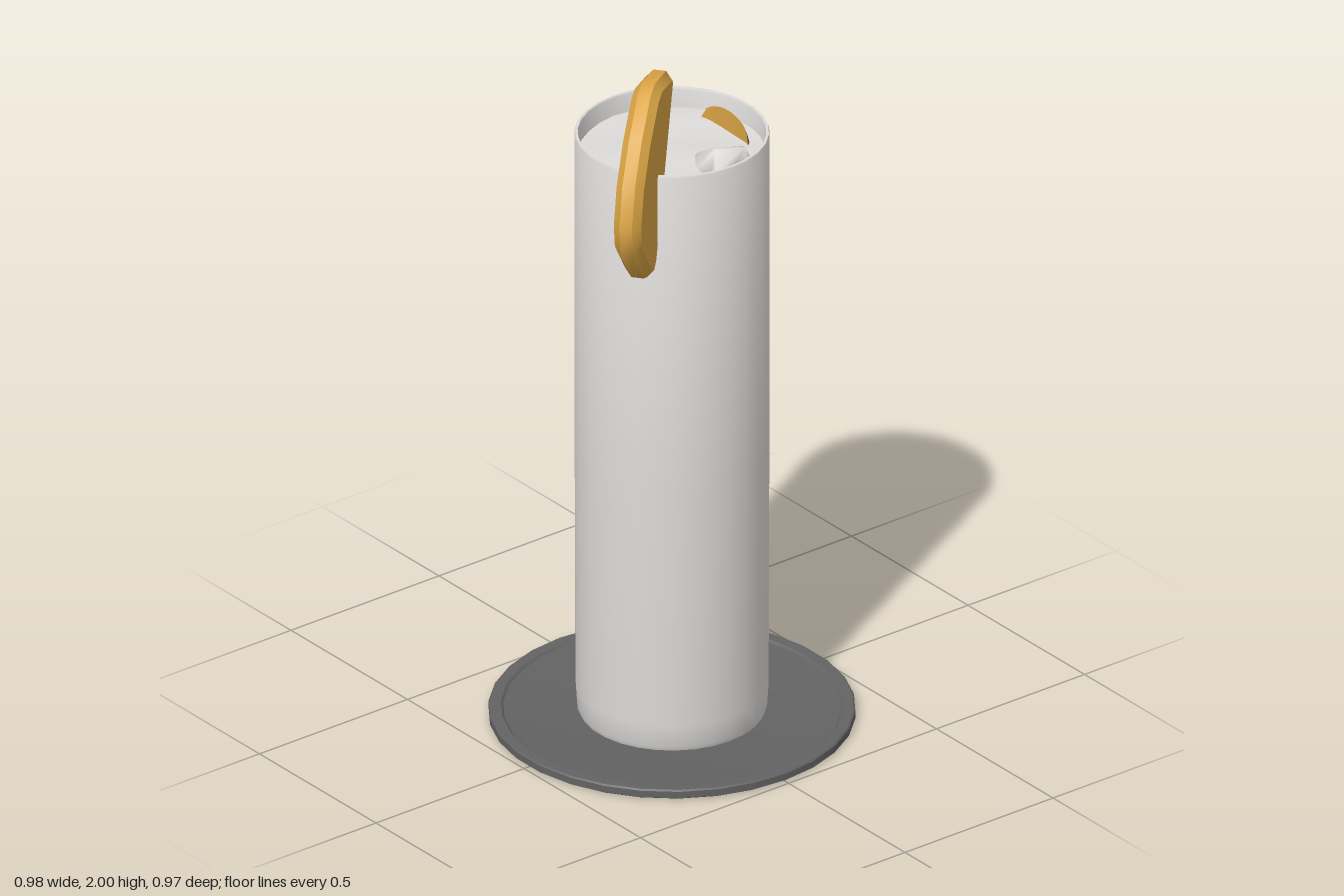
import * as THREE from 'three';
import { mergeVertices, toCreasedNormals } from 'three/addons/utils/BufferGeometryUtils.js';
import { ConvexGeometry } from 'three/addons/geometries/ConvexGeometry.js';

const SIDES = 30;
const LIQUID_Y = 1.69;

function material(name, color, side = THREE.FrontSide) {
  const m = new THREE.MeshStandardMaterial({ color, side });
  m.name = name;
  return m;
}

function lathe(profile) {
  const pts = profile.map(([r, y]) => new THREE.Vector2(r, y));
  return toCreasedNormals(new THREE.LatheGeometry(pts, SIDES, Math.PI / 2), 0.6);
}

// Surface between two curves, each a function of t in -1..1
function strip(curveA, curveB, steps) {
  const pos = [], index = [];
  for (let i = 0; i <= steps; i++) {
    const t = -1 + (2 * i) / steps;
    pos.push(...curveA(t), ...curveB(t));
    if (i < steps) {
      const a = i * 2;
      index.push(a, a + 2, a + 1, a + 1, a + 2, a + 3);
    }
  }
  const g = new THREE.BufferGeometry();
  g.setAttribute('position', new THREE.Float32BufferAttribute(pos, 3));
  g.setIndex(index);
  g.computeVertexNormals();
  return g;
}

export function createModel() {
  const model = new THREE.Group();
  model.name = 'drinkWithCitrus';
  const glassMat = material('paleGlass', 0xdedcda);
  const coasterMat = material('darkGrey', 0x636363, THREE.DoubleSide);
  const citrusMat = material('amberCitrus', 0xdba545, THREE.DoubleSide);

  const add = (name, geometry, mat) => {
    const mesh = new THREE.Mesh(geometry, mat);
    mesh.name = name;
    model.add(mesh);
    return mesh;
  };

  // Coaster with a shallow recess inside a raised border
  add('coaster', lathe([
    [0, 0], [0.48, 0], [0.488, 0.005], [0.488, 0.024], [0.484, 0.028],
    [0.455, 0.028], [0.449, 0.022], [0.437, 0.02], [0, 0.02],
  ]), coasterMat);

  // Tall tumbler, open at the top
  add('glass', lathe([
    [0, 0.021], [0.247, 0.021], [0.253, 0.035], [0.257, 0.1], [0.259, 0.8], [0.26, 1.745],
    [0.258, 1.75], [0.251, 1.75], [0.249, 1.745], [0.249, 1.6],
  ]), glassMat);

  // Drink surface with gentle ripples
  const surface = new THREE.RingGeometry(0.001, 0.252, SIDES, 6);
  surface.rotateX(-Math.PI / 2);
  const p = surface.attributes.position;
  for (let i = 0; i < p.count; i++) {
    p.setY(i, LIQUID_Y + 0.004 * Math.sin(22 * p.getX(i) + 1) * Math.cos(19 * p.getZ(i)));
  }
  surface.computeVertexNormals();
  add('liquid', surface, glassMat);

  // Ice cube corner breaking the surface
  const icePoints = [
    [0.05, 1.68, -0.035], [0.135, 1.68, -0.142], [0.17, 1.68, -0.142], [0.215, 1.68, -0.095],
    [0.222, 1.68, -0.005], [0.195, 1.68, 0.028], [0.11, 1.68, 0.01],
    [0.145, 1.725, -0.125], [0.16, 1.73, -0.12], [0.13, 1.742, -0.035], [0.145, 1.742, -0.03],
    [0.07, 1.705, -0.03], [0.195, 1.705, 0.005],
  ].map((c) => new THREE.Vector3(...c));
  let ice = new ConvexGeometry(icePoints);
  ice.deleteAttribute('normal');
  ice = mergeVertices(ice);
  ice.computeVertexNormals();
  add('iceCube', ice, glassMat);

  // Floating peel: amber front, dark leaning back
  const arch = (t) => Math.sqrt(Math.max(0, 1 - t * t));
  const crest = (t) => [0.1 * t, LIQUID_Y + 0.005 + 0.055 * arch(t), -0.178 - 0.012 * arch(t)];
  const frontBase = (t) => [0.1 * t, LIQUID_Y - 0.01, -0.178 - 0.012 * arch(t)];
  const backBase = (t) => [0.098 * t, LIQUID_Y - 0.01, -0.18 - 0.035 * arch(t)];
  add('peelFront', strip(frontBase, crest, 14), citrusMat);
  add('peelBack', strip(crest, backBase, 14), coasterMat);

  // Half citrus slice hooked over the rim
  const outline = [
    [0, 1.945], [0.02, 1.972], [0.15, 2.0], [0.2, 1.985], [0.3, 1.9], [0.375, 1.8],
    [0.41, 1.69], [0.395, 1.61], [0.27, 1.477], [0.237, 1.465], [0.2, 1.49], [0.135, 1.63],
    [0.08, 1.76],
  ].map(([u, y]) => new THREE.Vector2(u, y)).reverse();
  const slice = new THREE.ExtrudeGeometry(new THREE.Shape(outline), {
    depth: 0.035, bevelEnabled: true, bevelThickness: 0.02,
    bevelSize: 0.022, bevelOffset: -0.022, bevelSegments: 1,
  });
  slice.translate(0, 0, -0.0175);
  const sliceMesh = add('citrusSlice', toCreasedNormals(slice, 0.6), citrusMat);
  sliceMesh.position.set(0.025, 0, 0.055);
  sliceMesh.rotation.y = -Math.atan2(0.785, 0.62);

  return model;
}
